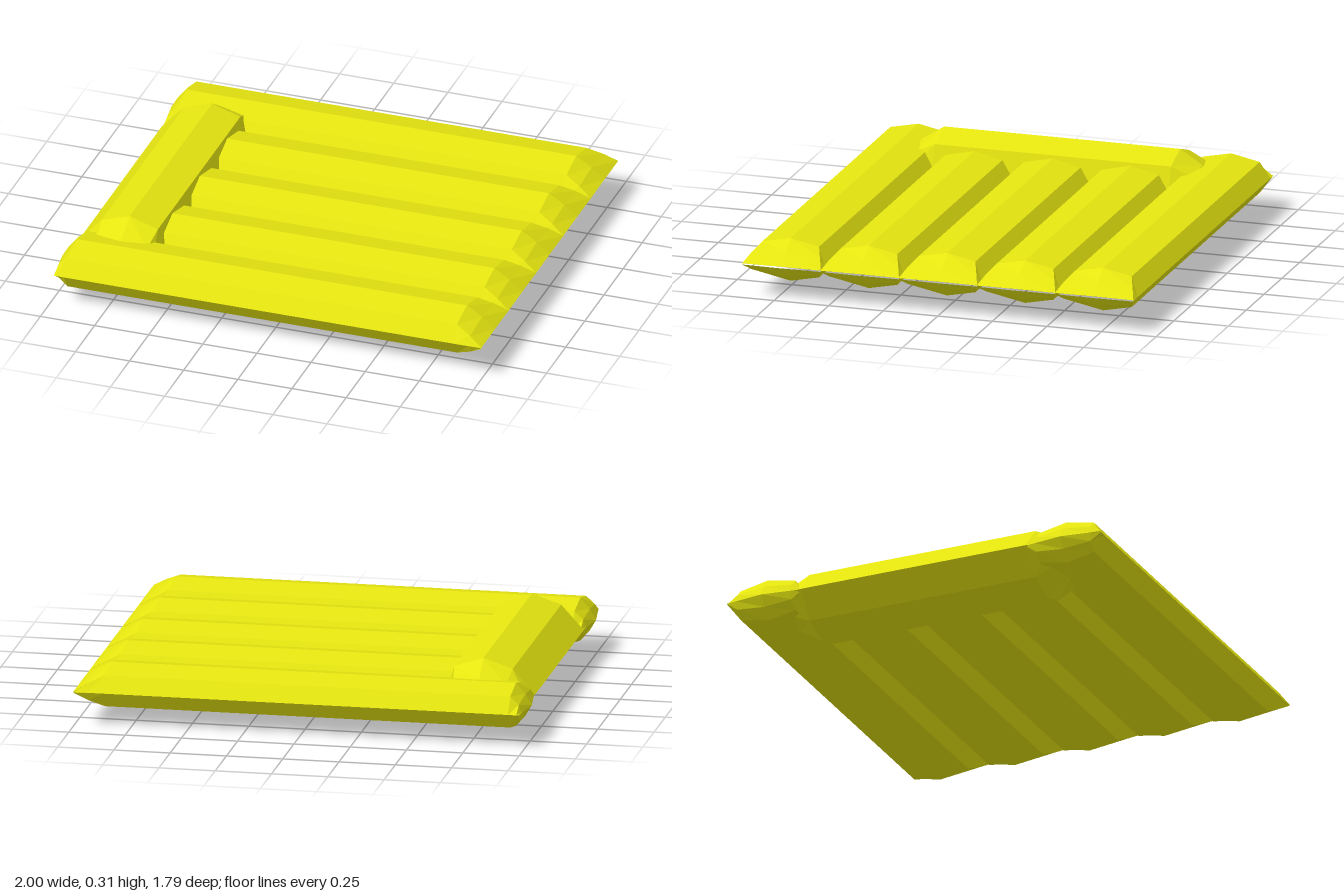
import * as THREE from 'three';

const SEAM = 0.16; // height of the flat welded seam
const material = new THREE.MeshStandardMaterial({ color: 0xe5e510, flatShading: true });

// Skin a list of closed rings, each an array of [x, y, z]
function loft(name, rings) {
  const n = rings[0].length;
  const index = [];
  for (let i = 0; i < rings.length - 1; i++) {
    for (let j = 0; j < n; j++) {
      const a = i * n + j, b = i * n + (j + 1) % n;
      index.push(a, b, a + n, b, b + n, a + n);
    }
  }
  let geometry = new THREE.BufferGeometry();
  geometry.setAttribute('position', new THREE.Float32BufferAttribute(rings.flat(2), 3));
  geometry.setIndex(index);
  geometry = geometry.toNonIndexed();
  geometry.computeVertexNormals();
  const mesh = new THREE.Mesh(geometry, material);
  mesh.name = name;
  return mesh;
}

// Faceted air-chamber ring across z: crease position, height scale and forward bulge
function tubeRing(x, z0, crease, h, bulge = 0) {
  const half = [[-0.18, 0], [-crease, 0.07], [0, 0.097], [crease, 0.07]];
  const section = [...half, ...half.map(([z, y]) => [-z, -y])];
  return section.map(([z, y]) =>
    [x - bulge * (1 - Math.abs(z) / 0.18), SEAM + y * h, z0 + z]);
}

// Pillow ring across x, ends narrow towards its middle
function pillowRing(z, sx, h) {
  const top = [[-0.59, 0], [-0.62, 0.11], [-0.75, 0.153], [-0.88, 0.11], [-0.98, 0]];
  const under = top.slice(1, 4).reverse().map(([x, y]) => [x, -y]);
  return [...top, ...under].map(([x, y]) => [-0.77 + (x + 0.77) * sx, SEAM + y * h, z]);
}

export function createModel() {
  const group = new THREE.Group();
  group.name = 'inflatableMattress';

  // Five parallel chambers; the outer two run beside the pillow to the head end
  for (let i = -2; i <= 2; i++) {
    const z0 = i * 0.358;
    const outer = Math.abs(i) === 2;
    const head = outer
      ? [tubeRing(-0.975, z0, 0.13, 0, 0.025), tubeRing(-0.967, z0, 0.13, 0.5, 0.005), tubeRing(-0.93, z0, 0.13, 1)]
      : [tubeRing(-0.66, z0, 0.13, 1)];
    const foot = [
      tubeRing(0.87, z0, 0.13, 1),
      tubeRing(0.94, z0, 0.157, 0.55),
      tubeRing(1, z0, 0.18, 0.04),
    ];
    group.add(loft(outer ? 'outerChamber' : 'innerChamber', [...head, ...foot]));
  }

  // Thicker pillow across the head, its tapered ends sunk into the outer chambers
  group.add(loft('pillow', [
    pillowRing(-0.74, 0.8, 0),
    pillowRing(-0.64, 0.9, 0.58),
    pillowRing(-0.54, 1, 1),
    pillowRing(0.54, 1, 1),
    pillowRing(0.64, 0.9, 0.58),
    pillowRing(0.74, 0.8, 0),
  ]));

  return group;
}
